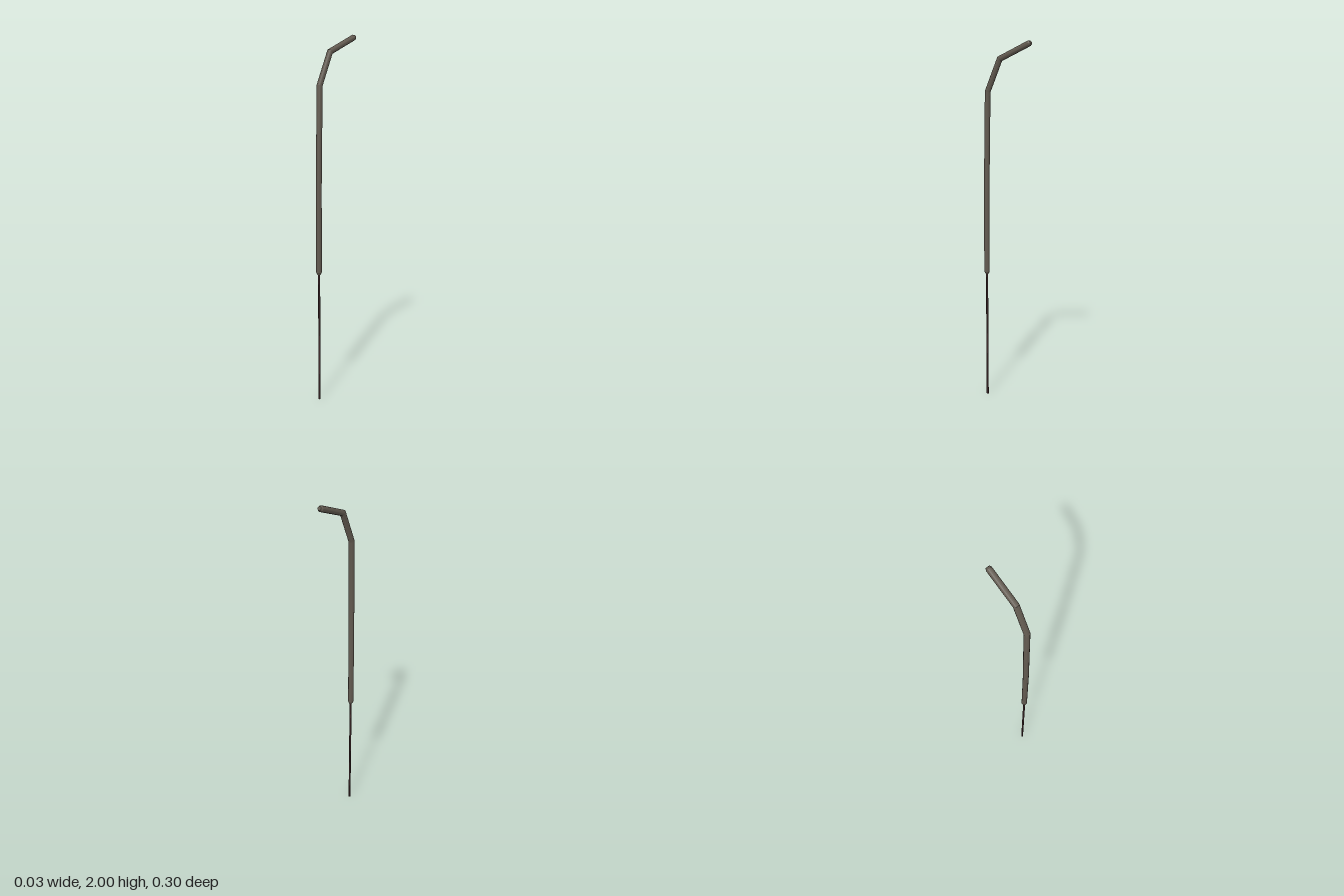
import * as THREE from 'three';
import { toCreasedNormals } from 'three/addons/utils/BufferGeometryUtils.js';

const SIDES = 16;

// Sweeps a round section along a bent path in the YZ plane, with mitred joints.
// Each path entry is [z, y, radius].
function mitredTube(path) {
  const pos = [], index = [];
  const pts = path.map(([z, y]) => new THREE.Vector2(z, y));
  path.forEach(([z, y, r], i) => {
    const before = pts[i].clone().sub(pts[Math.max(i - 1, 0)]).normalize();
    const after = pts[Math.min(i + 1, pts.length - 1)].clone().sub(pts[i]).normalize();
    const dir = before.clone().add(after).normalize();
    const ref = i === 0 ? after : before;
    const stretch = 1 / dir.dot(ref);
    for (let k = 0; k < SIDES; k++) {
      const a = (k / SIDES) * Math.PI * 2;
      const s = Math.sin(a) * r * stretch;
      pos.push(Math.cos(a) * r, y - dir.x * s, z + dir.y * s);
    }
  });
  for (let i = 0; i < path.length - 1; i++) {
    for (let k = 0; k < SIDES; k++) {
      const a = i * SIDES + k, b = i * SIDES + (k + 1) % SIDES;
      index.push(a, a + SIDES, b, b, a + SIDES, b + SIDES);
    }
  }
  // End caps
  const last = (path.length - 1) * SIDES;
  for (let k = 1; k < SIDES - 1; k++) {
    index.push(0, k, k + 1, last, last + k + 1, last + k);
  }
  const geo = new THREE.BufferGeometry();
  geo.setAttribute('position', new THREE.Float32BufferAttribute(pos, 3));
  geo.setIndex(index);
  return toCreasedNormals(geo, 0.41);
}

export function createModel() {
  const group = new THREE.Group();
  const greyBrown = new THREE.MeshStandardMaterial({ color: 0x625a50 });
  const darkBrown = new THREE.MeshStandardMaterial({ color: 0x40292a });

  // Thick bent handle with bevelled ends
  const R = 0.0155;
  const handle = new THREE.Mesh(mitredTube([
    [0.132, 0.73, 0.01],
    [0.132, 0.742, R],
    [0.131, 1.2, R],
    [0.121, 1.74, R],
    [0.044, 1.91, R],
    [-0.136, 1.986, R],
    [-0.145, 1.99, 0.01],
  ]), greyBrown);
  handle.name = 'bentHandle';
  group.add(handle);

  // Thin straight shaft reaching the ground
  const shaft = new THREE.Mesh(new THREE.CylinderGeometry(0.006, 0.006, 0.74, 12), darkBrown);
  shaft.position.set(0, 0.37, 0.132);
  shaft.name = 'thinShaft';
  group.add(shaft);

  return group;
}
